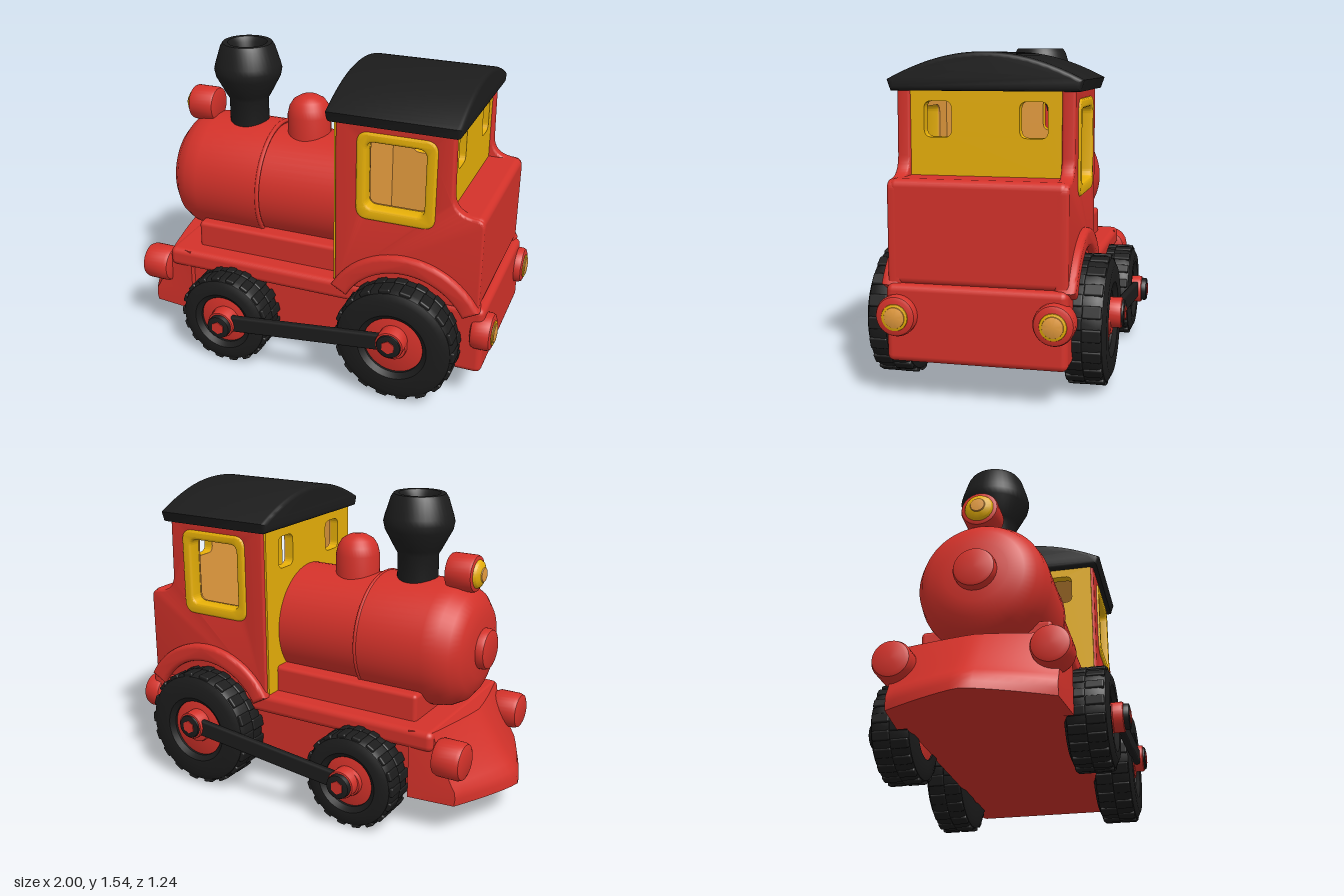
import * as THREE from 'three';
import { toCreasedNormals } from 'three/addons/utils/BufferGeometryUtils.js';
import { RoundedBoxGeometry } from 'three/addons/geometries/RoundedBoxGeometry.js';

const mat = (name, color) => new THREE.MeshStandardMaterial({ name, color });

export function createModel() {
  const red = mat('red', 0xd4322a), black = mat('black', 0x1c1c1c);
  const yellow = mat('yellow', 0xeab208), amber = mat('amber', 0xeaa040);
  const train = new THREE.Group();
  train.name = 'toyTrain';

  const add = (name, geo, material, x = 0, y = 0, z = 0, parent = train) => {
    const m = new THREE.Mesh(geo, material);
    m.name = name;
    m.position.set(x, y, z);
    parent.add(m);
    return m;
  };
  // Box given by its limits
  const box = (name, material, x0, x1, y0, y1, z0, z1, r = 0.02) =>
    add(name, new RoundedBoxGeometry(x1 - x0, y1 - y0, z1 - z0, 3, r), material,
      (x0 + x1) / 2, (y0 + y1) / 2, (z0 + z1) / 2);
  // Lathe from [radius, height] pairs
  const lathe = (pts, seg = 40) => toCreasedNormals(
    new THREE.LatheGeometry(pts.map(p => new THREE.Vector2(...p)), seg), 0.6);
  // Solid knob with softened rims, base at height 0
  const knob = (r, h, b = 0.02) => lathe([[0, 0], [r - b, 0], [r - b * 0.3, b * 0.3], [r, b],
    [r, h - b], [r - b * 0.3, h - b * 0.3], [r - b, h], [0, h]], 32);
  const roundRect = (C, x0, x1, y0, y1, r) => {
    const s = new C();
    s.moveTo(x0 + r, y0).lineTo(x1 - r, y0).quadraticCurveTo(x1, y0, x1, y0 + r)
      .lineTo(x1, y1 - r).quadraticCurveTo(x1, y1, x1 - r, y1)
      .lineTo(x0 + r, y1).quadraticCurveTo(x0, y1, x0, y1 - r)
      .lineTo(x0, y0 + r).quadraticCurveTo(x0, y0, x0 + r, y0);
    return s;
  };
  // Extrusion whose total depth, bevels included, is d and starts at 0
  const extrude = (shape, d, b = 0) => {
    const g = new THREE.ExtrudeGeometry(shape, { depth: d - 2 * b, bevelEnabled: b > 0,
      bevelThickness: b, bevelSize: b, bevelOffset: -b, bevelSegments: 3, curveSegments: 20 });
    return toCreasedNormals(g.translate(0, 0, b), 0.6);
  };

  // Chassis: a recessed core below a wider deck
  box('chassisCore', red, -0.7, 0.93, 0.18, 0.5, -0.365, 0.365);
  box('deck', red, -0.72, 0.94, 0.43, 0.53, -0.405, 0.405, 0.03);
  box('rearSkirt', red, 0.66, 0.95, 0.18, 0.53, -0.405, 0.405, 0.03);

  // Sloping nose, pointed in plan and leaning back towards the deck
  const nose = new THREE.BoxGeometry(1, 1, 2, 6, 10, 16);
  const np = nose.attributes.position;
  for (let i = 0; i < np.count; i++) {
    const t = np.getY(i) + 0.5, s = np.getZ(i), u = np.getX(i) + 0.5;
    const lean = t < 0.18 ? t * 0.05 : 0.01 + 0.21 * Math.pow((t - 0.18) / 0.82, 0.9);
    const front = -1 + lean + (0.17 - 0.1 * t) * Math.pow(Math.abs(s), 1.25);
    np.setXYZ(i, front + (-0.6 - front) * u, 0.18 + 0.345 * t, s * (0.4 - 0.025 * (1 - u)));
  }
  nose.deleteAttribute('normal');
  nose.deleteAttribute('uv');
  add('nose', toCreasedNormals(nose, 0.7), red);

  // Boiler with its saddle, band and end cap
  box('boilerSaddle', red, -0.59, 0.22, 0.5, 0.66, -0.31, 0.31, 0.02);
  const boiler = lathe([[0, -0.22], [0.292, -0.22], [0.292, 0.25], [0.312, 0.26], [0.312, 0.6],
    [0.3, 0.67], [0.27, 0.725], [0.22, 0.765], [0.15, 0.785], [0, 0.79]], 56);
  add('boiler', boiler, red, 0, 0.84).rotation.z = Math.PI / 2;
  add('boilerBand', new THREE.TorusGeometry(0.305, 0.011, 8, 56), red, -0.255, 0.84)
    .rotation.y = Math.PI / 2;
  add('boilerCap', knob(0.1, 0.08), red, -0.75, 0.84).rotation.z = Math.PI / 2;

  // Chimney with a hollow flared top, and the steam dome
  add('chimney', lathe([[0, 1.08], [0.1, 1.08], [0.1, 1.265], [0.115, 1.29], [0.165, 1.385],
    [0.172, 1.42], [0.165, 1.45], [0.138, 1.535], [0.125, 1.555], [0.1, 1.555], [0.085, 1.53],
    [0.075, 1.46], [0, 1.45]]), black, -0.43);
  add('steamDome', lathe([[0.11, 1.05], [0.11, 1.22], [0.1, 1.262], [0.08, 1.294],
    [0.045, 1.315], [0, 1.322]]), red, -0.095);

  // Headlight above the boiler front
  add('headlight', knob(0.09, 0.14, 0.015), red, -0.605, 1.2).rotation.z = Math.PI / 2;
  add('headlightLens', lathe([[0.07, 0], [0.062, 0.015], [0.035, 0.03], [0, 0.03]], 24),
    yellow, -0.743, 1.2).rotation.z = Math.PI / 2;
  add('headlightBulb', lathe([[0.037, 0], [0.033, 0.006], [0, 0.01]], 24),
    amber, -0.771, 1.2).rotation.z = Math.PI / 2;

  // Cab rear block, amber floor and amber ceiling of the hollow cab
  box('cabRearBlock', red, 0.712, 0.92, 0.52, 0.99, -0.4, 0.4, 0.035);
  box('cabFloor', amber, 0.22, 0.73, 0.528, 0.536, -0.342, 0.342, 0.002);
  box('cabCeiling', amber, 0.22, 0.73, 1.36, 1.368, -0.342, 0.342, 0.002);

  // End walls with two small windows each: yellow outside, amber lining inside
  const endWall = (name, material, w, y0, d, x) => {
    const s = roundRect(THREE.Shape, -w, w, y0, 1.385, 0.01);
    for (const c of [-0.217, 0.217])
      s.holes.push(roundRect(THREE.Path, c - 0.063, c + 0.063, 1.16, 1.32, 0.035));
    add(name, extrude(s, d).rotateY(Math.PI / 2), material, x);
  };
  endWall('cabFrontWall', yellow, 0.388, 0.53, 0.045, 0.193);
  endWall('cabFrontLining', amber, 0.342, 0.53, 0.006, 0.238);
  endWall('cabBackWall', yellow, 0.35, 0.97, 0.045, 0.71);
  endWall('cabBackLining', amber, 0.342, 0.53, 0.006, 0.704);

  // Cab side outline, curving out over the rear block
  const sideShape = new THREE.Shape();
  sideShape.moveTo(0.203, 0.52).lineTo(0.92, 0.52).lineTo(0.92, 0.94)
    .quadraticCurveTo(0.92, 0.985, 0.875, 0.985).quadraticCurveTo(0.775, 0.99, 0.77, 1.08)
    .lineTo(0.765, 1.39).lineTo(0.203, 1.39).lineTo(0.203, 0.52);
  sideShape.holes.push(roundRect(THREE.Path, 0.34, 0.65, 0.94, 1.3, 0.04));
  const sideGeo = extrude(sideShape, 0.06, 0.012);
  const frameShape = roundRect(THREE.Shape, 0.308, 0.692, 0.898, 1.332, 0.06);
  frameShape.holes.push(roundRect(THREE.Path, 0.355, 0.64, 0.955, 1.285, 0.04));
  const frameGeo = extrude(frameShape, 0.075, 0.012);
  const liningShape = roundRect(THREE.Shape, 0.235, 0.715, 0.53, 1.385, 0.005);
  liningShape.holes.push(roundRect(THREE.Path, 0.355, 0.64, 0.955, 1.285, 0.04));
  const liningGeo = extrude(liningShape, 0.008);

  // Arch over each rear wheel
  const arch = new THREE.Shape();
  arch.absarc(0.56, 0.32, 0.42, 0.5, Math.PI - 0.5, false);
  arch.absarc(0.56, 0.32, 0.33, Math.PI - 0.5, 0.5, true);
  const archGeo = extrude(arch, 0.09, 0.02);

  for (const s of [1, -1]) {
    const z = (inner, depth) => (s > 0 ? inner : -inner - depth);
    add('cabSide', sideGeo, red, 0, 0, z(0.342, 0.06));
    add('windowFrame', frameGeo, yellow, 0, 0, z(0.337, 0.075));
    add('cabLining', liningGeo, amber, 0, 0, z(0.334, 0.008));
    add('wheelArch', archGeo, red, 0, 0, z(0.345, 0.09));
  }

  // Arched roof
  const roof = new THREE.Shape();
  roof.moveTo(-0.425, 1.365).lineTo(0.425, 1.365).lineTo(0.442, 1.415)
    .bezierCurveTo(0.27, 1.505, 0.13, 1.535, 0, 1.535)
    .bezierCurveTo(-0.13, 1.535, -0.27, 1.505, -0.442, 1.415).lineTo(-0.425, 1.365);
  add('roof', extrude(roof, 0.635, 0.02).rotateY(Math.PI / 2), black, 0.163);

  // Buffers; the rear pair carries lamps
  for (const s of [1, -1]) {
    add('frontBuffer', knob(0.092, 0.15, 0.025), red, -0.725, 0.405, s * 0.35)
      .rotation.z = Math.PI / 2;
    add('rearBuffer', knob(0.092, 0.1, 0.02), red, 0.89, 0.395, s * 0.35)
      .rotation.z = -Math.PI / 2;
    add('rearLampRim', knob(0.06, 0.015, 0.004), yellow, 0.98, 0.392, s * 0.35)
      .rotation.z = -Math.PI / 2;
    add('rearLamp', knob(0.047, 0.01, 0.003), amber, 0.99, 0.392, s * 0.35)
      .rotation.z = -Math.PI / 2;
  }

  // Wheel facing +z: tyre, shallow tread blocks and hub
  const wheel = (r, hubR) => {
    const g = new THREE.Group();
    g.name = 'wheel';
    const ro = r - 0.006;
    const tyre = lathe([[hubR, 0], [ro - 0.05, 0], [ro - 0.012, 0.015], [ro, 0.045], [ro, 0.165],
      [ro - 0.012, 0.19], [ro - 0.045, 0.207], [hubR + 0.025, 0.205], [hubR, 0.185], [hubR, 0]], 48);
    add('tyre', tyre.rotateX(Math.PI / 2), black, 0, 0, 0, g);
    const block = new RoundedBoxGeometry(0.03, r * 0.19, 0.085, 2, 0.008);
    const n = 18;
    for (let i = 0; i < 2 * n; i++) {
      const a = (i * Math.PI) / n;
      const b = add('treadBlock', block, black, Math.cos(a) * (r - 0.015),
        Math.sin(a) * (r - 0.015), i % 2 ? 0.06 : 0.145, g);
      b.rotation.z = a;
    }
    add('hub', knob(hubR + 0.005, 0.17, 0.01).rotateX(Math.PI / 2), red, 0, 0, 0.005, g);
    add('hubBoss', knob(0.07, 0.06, 0.01).rotateX(Math.PI / 2), red, 0, 0, 0.14, g);
    return g;
  };

  // Running gear for each side: two wheels, rod and pins (x, y, reach in z)
  const pins = [[-0.34, 0.255, 0.62], [0.55, 0.355, 0.605]];
  for (const s of [1, -1]) {
    const gear = new THREE.Group();
    gear.name = s > 0 ? 'leftRunningGear' : 'rightRunningGear';
    const front = wheel(0.24, 0.127), rear = wheel(0.3, 0.148);
    front.position.set(-0.35, 0.25, 0.343);
    rear.position.set(0.55, 0.32, 0.343);
    gear.add(front, rear);
    const dx = pins[1][0] - pins[0][0], dy = pins[1][1] - pins[0][1];
    const rod = add('couplingRod', new RoundedBoxGeometry(Math.hypot(dx, dy), 0.085, 0.035, 2, 0.012),
      black, 0.105, 0.305, 0.557, gear);
    rod.rotation.z = Math.atan2(dy, dx);
    for (const [x, y, reach] of pins) {
      add('pinWasher', knob(0.07, 0.11, 0.008).rotateX(Math.PI / 2), red, x, y, 0.48, gear);
      add('pinCollar', knob(0.06, 0.1, 0.008).rotateX(Math.PI / 2), black, x, y, reach - 0.104, gear);
      add('pinCap', toCreasedNormals(new THREE.CylinderGeometry(0.034, 0.036, 0.02, 6)
        .rotateX(Math.PI / 2), 0.5), red, x, y, reach - 0.01, gear);
    }
    // Mirror the gear for the right side
    gear.scale.z = s;
    train.add(gear);
  }

  return train;
}
